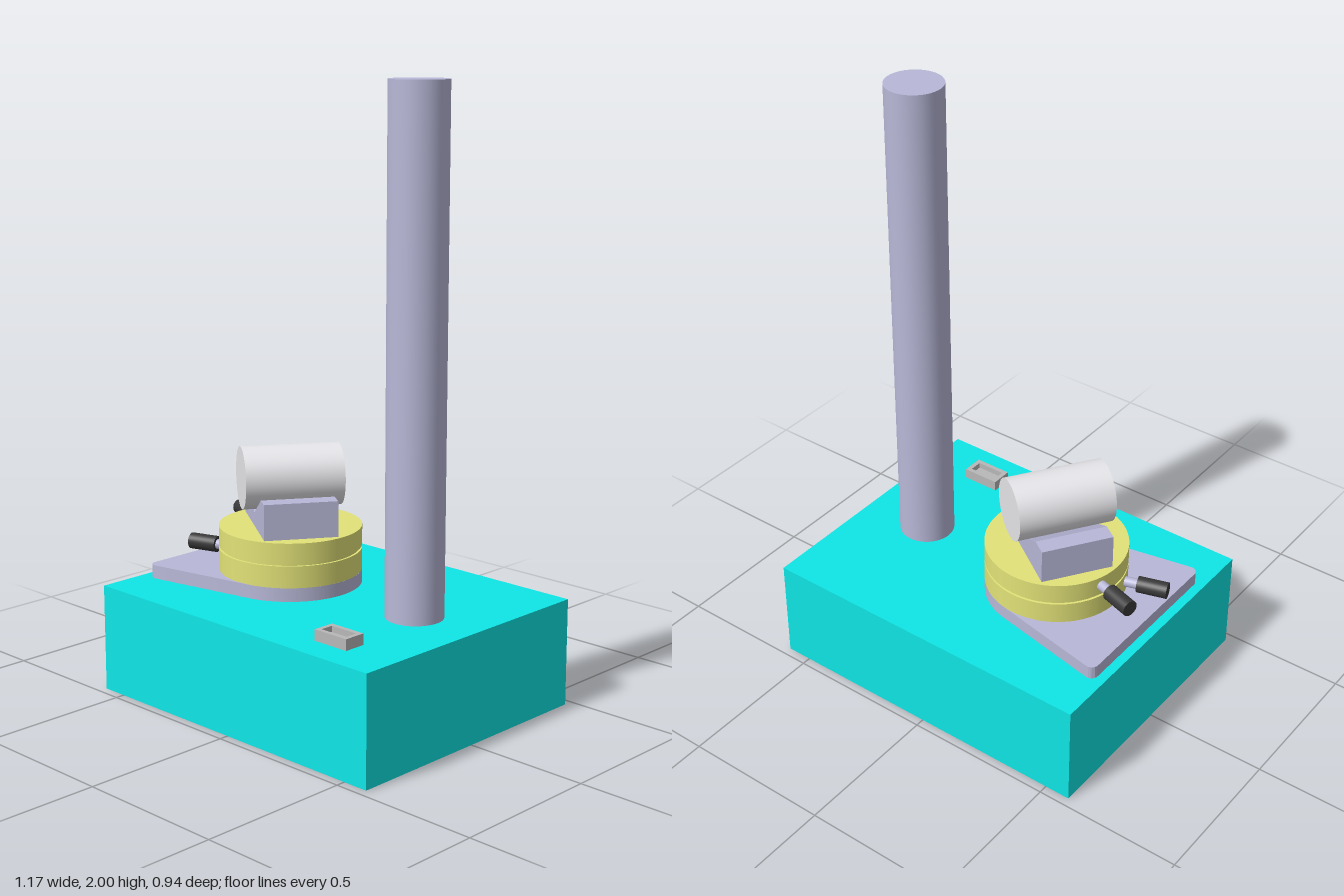
import * as THREE from 'three';
import { toCreasedNormals } from 'three/addons/utils/BufferGeometryUtils.js';

const mat = (color) => new THREE.MeshStandardMaterial({ color });
const steel = mat(0xb8b8d8), cyan = mat(0x0fe6e6), yellow = mat(0xe2e278);
const black = mat(0x383838), silver = mat(0xe6e6ea), grey = mat(0xb8b8b8);

function add(parent, name, geometry, material, x = 0, y = 0, z = 0) {
  const mesh = new THREE.Mesh(geometry, material);
  mesh.name = name;
  mesh.position.set(x, y, z);
  parent.add(mesh);
  return mesh;
}

// Cylinder standing on y0 and reaching y1
function disc(parent, name, r, y0, y1, material, x = 0) {
  return add(parent, name, new THREE.CylinderGeometry(r, r, y1 - y0, 64), material, x, (y0 + y1) / 2, 0);
}

// Shape drawn in plan, extruded upwards
function slab(shape, height) {
  const g = new THREE.ExtrudeGeometry(shape, { depth: height, bevelEnabled: false, curveSegments: 48 });
  g.rotateX(-Math.PI / 2);
  return toCreasedNormals(g, 0.5);
}

function rectangle(target, w, d) {
  target.moveTo(-w / 2, -d / 2);
  target.lineTo(w / 2, -d / 2);
  target.lineTo(w / 2, d / 2);
  target.lineTo(-w / 2, d / 2);
  target.closePath();
  return target;
}

export function createModel() {
  const model = new THREE.Group();
  const top = 0.355;

  // Base and tall post
  add(model, 'base', new THREE.BoxGeometry(1.174, top, 0.94), cyan, 0, top / 2, 0);
  disc(model, 'post', 0.093, top, 2, steel, 0.35);

  // Rotary stage, centred on its own axis
  const stage = new THREE.Group();
  stage.name = 'rotaryStage';
  stage.position.x = -0.195;
  model.add(stage);

  // Foot plate: a large round joined by tangents to two small corner rounds
  const R = 0.235, r = 0.025, cx = -0.335, cz = 0.278;
  const a = Math.atan2(cz, cx) - Math.acos((R - r) / Math.hypot(cx, cz));
  const plate = new THREE.Shape();
  plate.absarc(0, 0, R, -a, a, false);
  plate.absarc(cx, cz, r, a, Math.PI, false);
  plate.absarc(cx, -cz, r, Math.PI, 2 * Math.PI - a, false);
  plate.closePath();
  add(stage, 'footPlate', slab(plate, 0.045), steel, 0, top, 0);

  // Two turning discs with a narrow groove between them
  disc(stage, 'lowerDisc', R, 0.4, 0.472, yellow);
  disc(stage, 'discGroove', R - 0.008, 0.472, 0.48, yellow);
  disc(stage, 'upperDisc', R, 0.48, 0.547, yellow);

  // Adjusting screws, pointing outwards: the rear one on the upper disc
  for (const [side, y] of [[-1, 0.515], [1, 0.44]]) {
    const screw = new THREE.Group();
    screw.name = side < 0 ? 'upperScrew' : 'lowerScrew';
    screw.position.y = y;
    screw.rotation.y = side * 0.3;
    stage.add(screw);
    const shaft = new THREE.CylinderGeometry(0.017, 0.017, 0.08, 24).rotateZ(Math.PI / 2);
    add(screw, 'screwShaft', shaft, steel, -0.245, 0, 0);
    const knob = new THREE.CylinderGeometry(0.027, 0.027, 0.1, 32).rotateZ(Math.PI / 2);
    add(screw, 'screwKnob', knob, black, -0.328, 0, 0);
  }

  // V-block with a cylinder lying in its groove
  const holder = new THREE.Group();
  holder.name = 'cylinderHolder';
  holder.rotation.y = -0.593;
  stage.add(holder);
  const vee = new THREE.Shape();
  vee.moveTo(-0.186, 0.547);
  vee.lineTo(0.186, 0.547);
  vee.lineTo(0.186, 0.665);
  vee.lineTo(0.128, 0.665);
  vee.lineTo(0, 0.591);
  vee.lineTo(-0.128, 0.665);
  vee.lineTo(-0.186, 0.665);
  vee.closePath();
  add(holder, 'vBlock', new THREE.ExtrudeGeometry(vee, { depth: 0.24, bevelEnabled: false }), steel, 0, 0, -0.12);
  const rod = new THREE.CylinderGeometry(0.103, 0.103, 0.325, 64).rotateX(Math.PI / 2);
  add(holder, 'cylinder', rod, silver, 0, 0.71, 0);

  // Small switch: a frame around a sunken rocker
  const frame = rectangle(new THREE.Shape(), 0.13, 0.074);
  frame.holes.push(rectangle(new THREE.Path(), 0.1, 0.044));
  add(model, 'switchFrame', slab(frame, 0.036), grey, 0.35, top, 0.337);
  add(model, 'switchRocker', new THREE.BoxGeometry(0.1, 0.016, 0.044), grey, 0.35, top + 0.008, 0.337);

  return model;
}
